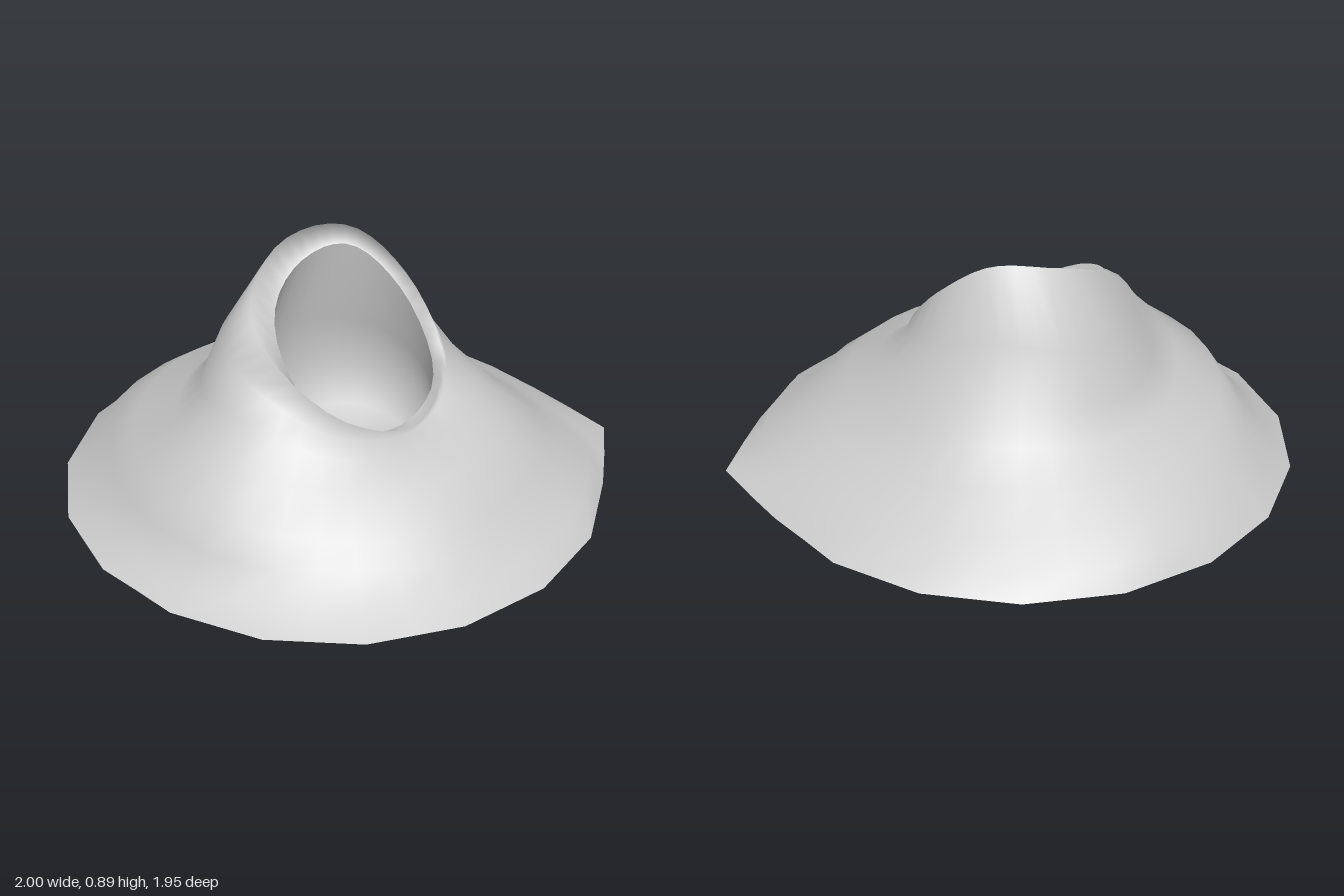
import * as THREE from 'three';

const COLUMNS = 36;

// Closed smooth curve through 8 values, one every 45 degrees from +x towards +z
function around(values, t) {
  const n = values.length, f = t * n, i = Math.floor(f), u = f - i;
  const [a, b, c, d] = [-1, 0, 1, 2].map(k => values[(i + k + n) % n]);
  return b + 0.5 * u * (c - a + u * (2 * a - 5 * b + 4 * c - d + u * (3 * (b - c) + d - a)));
}

// One cross-section: centre, then radius and height in the 8 directions
function ring(cx, cz, radii, heights) {
  return Array.from({ length: COLUMNS }, (_, j) => {
    const t = j / COLUMNS, a = t * Math.PI * 2, r = around(radii, t);
    return new THREE.Vector3(cx + r * Math.cos(a), around(heights, t), cz + r * Math.sin(a));
  });
}

// Straight-sided 18-gon foot with one corner pulled out at the back
function footRing() {
  return Array.from({ length: COLUMNS }, (_, j) => {
    const deg = j * 360 / COLUMNS, a = THREE.MathUtils.degToRad(deg);
    const flat = deg % 20 ? Math.cos(Math.PI / 18) : 1;
    const r = flat * 0.99 + 0.01 * Math.abs(Math.cos(a)) * flat
      + 0.09 * Math.max(0, 1 - Math.abs(deg - 300) / 20);
    return new THREE.Vector3(r * Math.cos(a), 0, r * Math.sin(a));
  });
}

// Skin a stack of rings, optionally closed by a final point
function skin(name, rings, tip) {
  const points = rings.flat(), index = [];
  for (let i = 0; i < rings.length - 1; i++) {
    for (let j = 0; j < COLUMNS; j++) {
      const a = i * COLUMNS + j, b = i * COLUMNS + (j + 1) % COLUMNS;
      index.push(a, a + COLUMNS, b, b, a + COLUMNS, b + COLUMNS);
    }
  }
  if (tip) {
    const start = (rings.length - 1) * COLUMNS;
    for (let j = 0; j < COLUMNS; j++) {
      index.push(start + j, points.length, start + (j + 1) % COLUMNS);
    }
    points.push(tip);
  }
  const geometry = new THREE.BufferGeometry().setFromPoints(points);
  geometry.setIndex(index);
  geometry.computeVertexNormals();
  const material = new THREE.MeshStandardMaterial({ color: 0xcccccc, side: THREE.DoubleSide });
  const mesh = new THREE.Mesh(geometry, material);
  mesh.name = name;
  return mesh;
}

export function createModel() {
  const group = new THREE.Group();
  group.name = 'craterMound';

  const lip = ring(0.04, -0.06,
    [0.28, 0.31, 0.28, 0.28, 0.25, 0.23, 0.25, 0.29],
    [0.36, 0.38, 0.48, 0.67, 0.80, 0.83, 0.68, 0.45]);

  // Outer slope: foot, low step, shoulder, neck and rounded rim
  group.add(skin('moundSlope', [
    footRing(),
    ring(0, 0, [0.90, 0.88, 0.89, 0.91, 0.93, 0.93, 0.91, 0.95],
      [0.06, 0.05, 0.05, 0.06, 0.08, 0.06, 0.06, 0.06]),
    ring(0, 0, [0.80, 0.78, 0.81, 0.82, 0.84, 0.82, 0.81, 0.85],
      [0.12, 0.13, 0.14, 0.15, 0.15, 0.13, 0.12, 0.12]),
    ring(0, 0, [0.75, 0.73, 0.76, 0.73, 0.72, 0.69, 0.67, 0.76],
      [0.20, 0.22, 0.26, 0.24, 0.24, 0.23, 0.20, 0.21]),
    ring(0, 0, [0.62, 0.58, 0.62, 0.57, 0.57, 0.56, 0.58, 0.63],
      [0.31, 0.32, 0.37, 0.32, 0.31, 0.33, 0.30, 0.31]),
    ring(0, 0, [0.47, 0.49, 0.50, 0.48, 0.49, 0.47, 0.48, 0.50],
      [0.36, 0.40, 0.49, 0.42, 0.40, 0.45, 0.45, 0.40]),
    ring(0, 0, [0.40, 0.43, 0.42, 0.41, 0.42, 0.39, 0.41, 0.41],
      [0.38, 0.45, 0.58, 0.58, 0.59, 0.63, 0.59, 0.47]),
    ring(0.04, -0.06, [0.33, 0.38, 0.38, 0.36, 0.33, 0.28, 0.28, 0.32],
      [0.37, 0.45, 0.62, 0.74, 0.86, 0.88, 0.73, 0.51]),
    lip
  ]));

  // Hollow bowl hanging inside the mound, bulging out below the lip
  group.add(skin('craterBowl', [
    lip,
    ring(0, -0.06, [0.31, 0.33, 0.34, 0.33, 0.29, 0.27, 0.29, 0.32],
      [0.30, 0.31, 0.38, 0.45, 0.49, 0.48, 0.43, 0.34]),
    ring(0, -0.07, [0.31, 0.32, 0.33, 0.32, 0.31, 0.33, 0.32, 0.32],
      [0.20, 0.20, 0.22, 0.24, 0.26, 0.25, 0.23, 0.21]),
    ring(0.01, -0.07, [0.24, 0.24, 0.24, 0.24, 0.24, 0.24, 0.24, 0.24],
      [0.10, 0.10, 0.11, 0.12, 0.13, 0.13, 0.11, 0.10])
  ], new THREE.Vector3(0.02, 0.10, -0.07)));

  return group;
}
